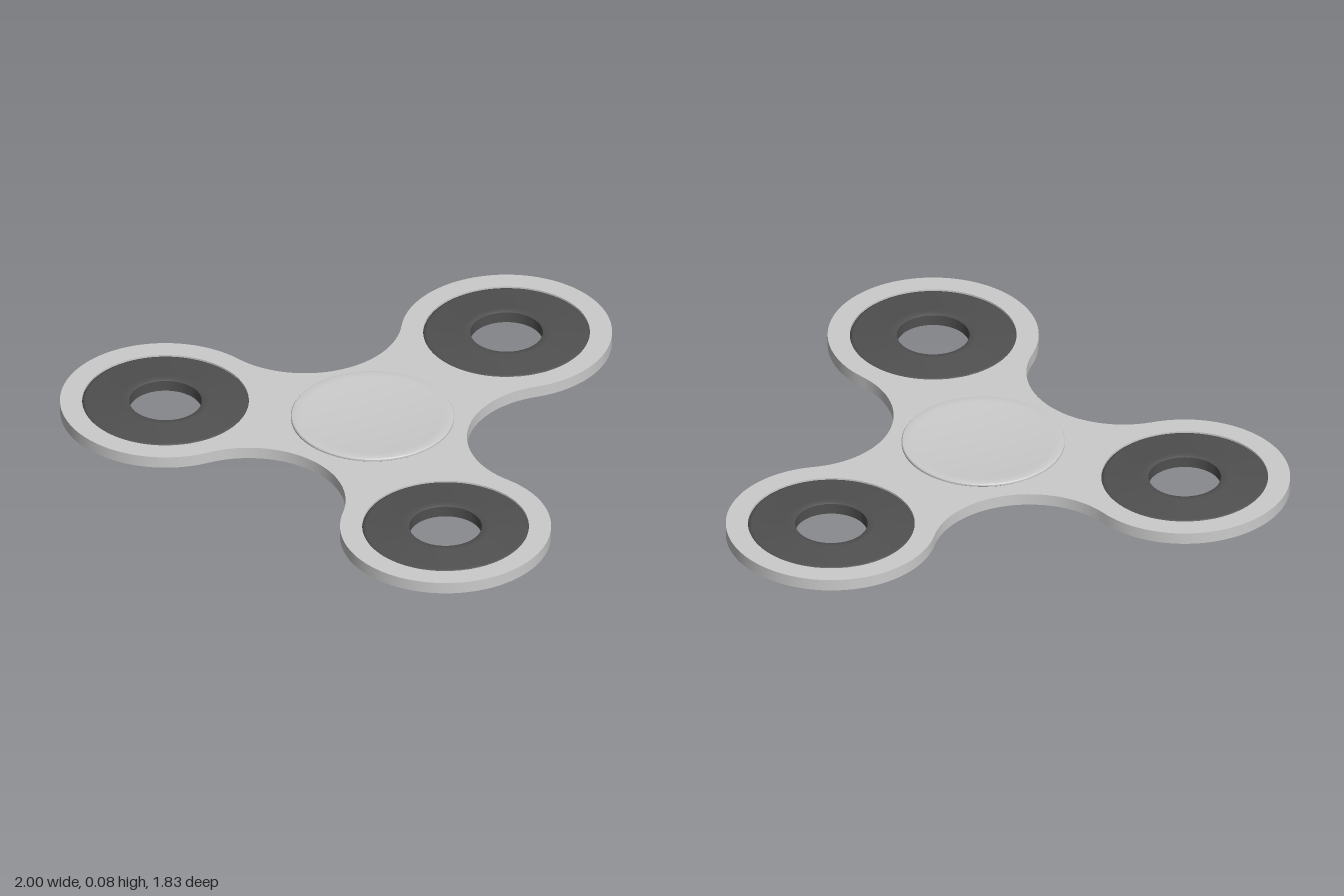
import * as THREE from 'three';
import { toCreasedNormals } from 'three/addons/utils/BufferGeometryUtils.js';

const MID = 0.0415;      // height of the symmetry plane
const HALF = 0.0213;     // half thickness of the plate
const ARM = 0.73;        // hub to lobe centre
const LOBE_R = 0.367;
const HOLE_R = 0.29;
const VALLEY_D = 0.675;  // centre distance and radius of the concave arcs
const VALLEY_R = 0.337;
const rad = THREE.MathUtils.degToRad;
const LOBES = [90, 210, 330].map(rad);

const polar = (r, a) => new THREE.Vector2(r * Math.cos(a), r * Math.sin(a));

// Revolve a closed profile of [radius, height] points, keeping its edges crisp
function lathe(points, segments = 96) {
  const geometry = new THREE.LatheGeometry(points.map(([r, y]) => new THREE.Vector2(r, y)), segments);
  return toCreasedNormals(geometry, rad(32));
}

// Three round lobes joined by tangent concave arcs, with a hole in each lobe
function bodyGeometry() {
  const shape = new THREE.Shape();
  const toValley = polar(VALLEY_D, rad(60)).sub(polar(ARM, 0));
  const spread = Math.atan2(toValley.y, toValley.x);
  for (const a of LOBES) {
    const lobe = polar(ARM, a);
    const valley = polar(VALLEY_D, a + rad(60));
    shape.absarc(lobe.x, lobe.y, LOBE_R, a - spread, a + spread, false);
    shape.absarc(valley.x, valley.y, VALLEY_R, a + spread + Math.PI, a + rad(300) - spread, true);
    const hole = new THREE.Path();
    hole.absarc(lobe.x, lobe.y, HOLE_R, 0, Math.PI * 2, true);
    shape.holes.push(hole);
  }
  const geometry = new THREE.ExtrudeGeometry(shape, { depth: HALF * 2, bevelEnabled: false, curveSegments: 48 });
  geometry.translate(0, 0, -HALF);
  geometry.rotateX(-Math.PI / 2);
  return toCreasedNormals(geometry, rad(32));
}

// Ring weight with rounded outer edges and a slightly raised inner lip
function weightGeometry() {
  const top = [
    [HOLE_R, 0.012], [0.288, 0.016], [0.283, 0.0195], [0.276, 0.021],
    [0.163, 0.021], [0.153, 0.0235], [0.132, 0.0235], [0.126, 0.020],
  ];
  const bottom = top.map(([r, y]) => [r, -y]).reverse();
  return lathe([...top, ...bottom, top[0]]);
}

// Finger cap: short neck, thin rounded rim and a shallow dished face
function capGeometry() {
  const points = [[0, 0.015], [0.262, 0.015], [0.262, 0.027], [0.28, 0.027], [0.284, 0.030],
    [0.284, 0.036], [0.281, 0.040], [0.275, 0.0415]];
  const dish = 0.011;
  for (let i = 1; i <= 10; i++) {
    const r = 0.275 * (1 - i / 10);
    points.push([r, 0.0415 - dish * (1 - (r / 0.275) ** 2)]);
  }
  return lathe(points);
}

export function createModel() {
  const model = new THREE.Group();
  model.name = 'spinner';
  const grey = new THREE.MeshStandardMaterial({ color: 0xcccccc });
  const dark = new THREE.MeshStandardMaterial({ color: 0x505050 });

  const add = (name, geometry, material) => {
    const mesh = new THREE.Mesh(geometry, material);
    mesh.name = name;
    mesh.position.set(0, MID, 0.181);
    model.add(mesh);
    return mesh;
  };

  add('body', bodyGeometry(), grey);

  // Caps above and below the hub
  const cap = capGeometry();
  add('topCap', cap, grey);
  add('bottomCap', cap, grey).rotation.x = Math.PI;

  // A weight in each lobe
  const weight = weightGeometry();
  LOBES.forEach((a, i) => {
    const p = polar(ARM, a);
    const mesh = add(['backWeight', 'rightWeight', 'leftWeight'][i], weight, dark);
    mesh.position.x += p.x;
    mesh.position.z -= p.y;
  });
  return model;
}
